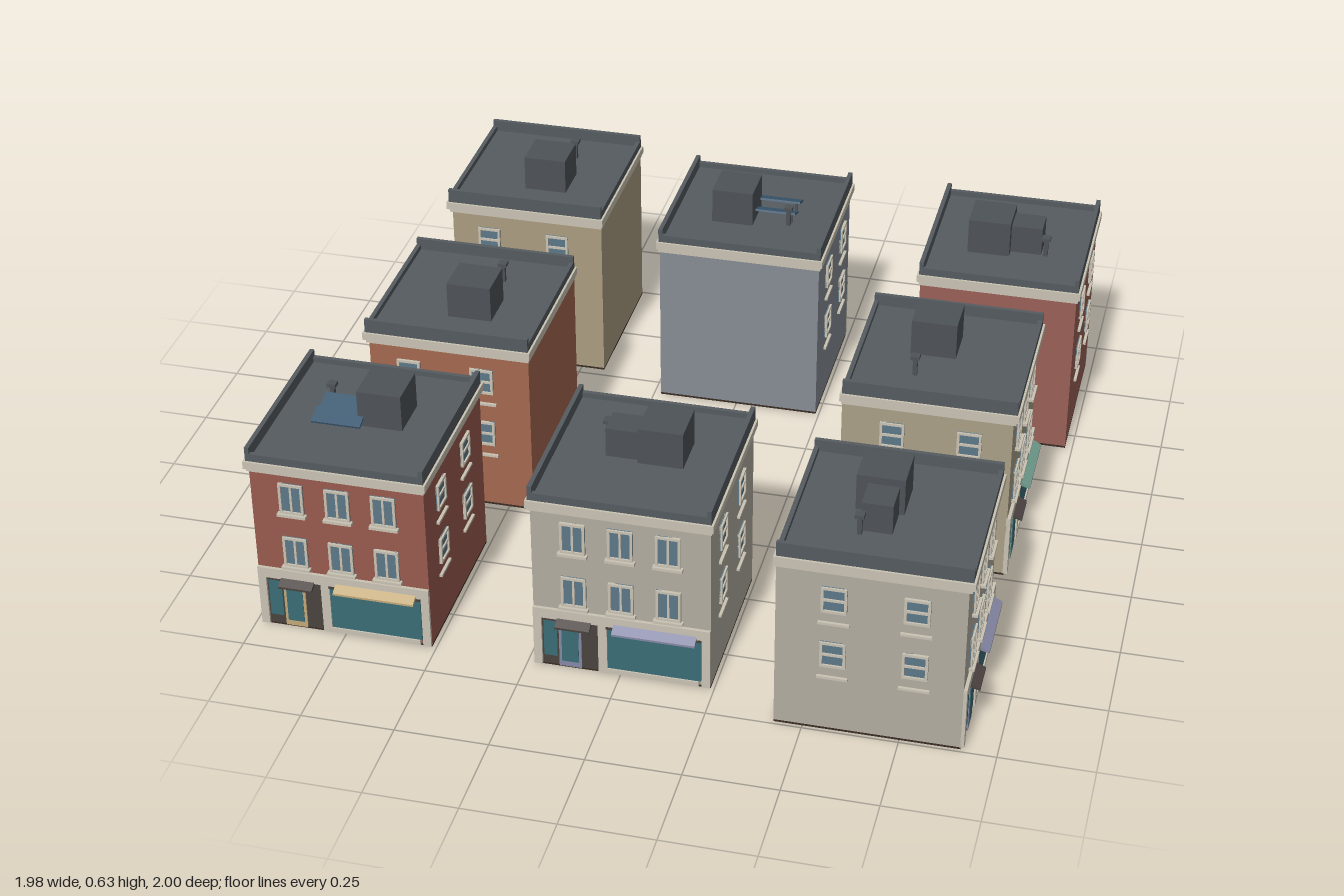
import * as THREE from 'three';

const mat = (color) => new THREE.MeshStandardMaterial({ color, flatShading: true });
const STONE = mat(0xc9c3b3), ROOF = mat(0x555b60), DARK = mat(0x4a4340), GLASS = mat(0x5c7888),
  SHOP = mat(0x3a6d76), BASE = mat(0x3a2c24), SOLAR = mat(0x3d5a72), VENT = mat(0x4e5358);

// box given by its centre and size
function box(parent, name, material, [x, y, z], [w, h, d]) {
  const m = new THREE.Mesh(new THREE.BoxGeometry(w, h, d), material);
  m.name = name;
  m.position.set(x, y, z);
  parent.add(m);
  return m;
}

// sloping wedge that sticks out of the facade
function wedge(parent, name, material, x, y, z, width, depth, height) {
  const s = new THREE.Shape([
    new THREE.Vector2(0, 0), new THREE.Vector2(0, height),
    new THREE.Vector2(-depth, -0.004), new THREE.Vector2(-depth, -0.01),
  ]);
  const g = new THREE.ExtrudeGeometry(s, { depth: width, bevelEnabled: false });
  g.translate(0, 0, -width / 2).rotateY(Math.PI / 2);
  const m = new THREE.Mesh(g, material);
  m.name = name;
  m.position.set(x, y, z);
  parent.add(m);
}

// window facing +z; mullion runs vertically or across
function makeWindow(w, h, across) {
  const g = new THREE.Group();
  g.name = 'window';
  const t = 0.007;
  box(g, 'glass', GLASS, [0, 0, 0.001], [w, h, 0.004]);
  for (const s of [-1, 1]) {
    box(g, 'frameSide', STONE, [s * (w - t) / 2, 0, 0.003], [t, h, 0.01]);
    box(g, 'frameRail', STONE, [0, s * (h - t) / 2, 0.003], [w, t, 0.01]);
  }
  if (across) {
    box(g, 'mullion', STONE, [0, 0, 0.003], [w, 0.007, 0.008]);
    box(g, 'ledge', STONE, [0, -h / 2 - 0.034, 0.003], [w + 0.014, 0.007, 0.01]);
  } else {
    box(g, 'mullion', STONE, [0, 0, 0.003], [0.006, h, 0.008]);
    box(g, 'sill', STONE, [0, -h / 2 - 0.003, 0.006], [w + 0.012, 0.008, 0.018]);
  }
  return g;
}

function makeShopfront(b, w, zf, accent, awning) {
  const g = new THREE.Group();
  g.name = 'shopfront';
  b.add(g);
  // stone surround
  box(g, 'signBand', STONE, [0, 0.17, zf + 0.003], [w, 0.03, 0.012]);
  for (const s of [-1, 1]) box(g, 'pilaster', STONE, [s * (w / 2 - 0.011), 0.08, zf + 0.003], [0.022, 0.15, 0.012]);
  box(g, 'pier', STONE, [-0.05, 0.08, zf + 0.003], [0.024, 0.15, 0.012]);
  box(g, 'bulkhead', STONE, [0.08, 0.013, zf + 0.003], [0.25, 0.014, 0.012]);
  // display window
  box(g, 'displayGlass', SHOP, [0.085, 0.088, zf + 0.002], [0.25, 0.136, 0.006]);
  box(g, 'displayHead', DARK, [0.085, 0.151, zf + 0.004], [0.25, 0.008, 0.012]);
  // entrance
  box(g, 'entrance', DARK, [-0.137, 0.082, zf + 0.001], [0.15, 0.148, 0.006]);
  box(g, 'sidelight', SHOP, [-0.19, 0.09, zf + 0.003], [0.036, 0.11, 0.006]);
  box(g, 'door', accent, [-0.137, 0.076, zf + 0.004], [0.06, 0.136, 0.007]);
  box(g, 'doorGlass', SHOP, [-0.137, 0.08, zf + 0.006], [0.045, 0.11, 0.006]);
  wedge(g, 'doorCanopy', DARK, -0.125, 0.152, zf, 0.092, 0.033, 0.012);
  if (awning) wedge(g, 'awning', accent, 0.09, 0.156, zf, 0.22, 0.033, 0.014);
}

function makeRoof(b, w, d, extra) {
  const g = new THREE.Group();
  g.name = 'roof';
  b.add(g);
  const zc = 0.005, W = w + 0.02, D = d + 0.022;
  box(g, 'frieze', STONE, [0, 0.493, zc - 0.002], [w + 0.008, 0.012, d + 0.01]);
  box(g, 'cornice', STONE, [0, 0.509, zc], [W, 0.022, D]);
  box(g, 'deck', ROOF, [0, 0.523, zc], [W - 0.014, 0.008, D - 0.014]);
  for (const s of [-1, 1]) {
    box(g, 'sideParapet', ROOF, [s * (W / 2 - 0.012), 0.54, zc], [0.012, 0.04, D - 0.012]);
    box(g, 'endParapet', ROOF, [0, 0.531, zc + s * (D / 2 - 0.012)], [W - 0.012, 0.022, 0.012]);
  }
  box(g, 'stairHouse', VENT, [0.053, 0.576, -0.025], [0.12, 0.108, 0.124]);
  // vent pipe with cap
  box(g, 'ventPipe', VENT, [-0.108, 0.551, -0.057], [0.012, 0.06, 0.012]);
  box(g, 'ventCap', VENT, [-0.108, 0.582, -0.057], [0.024, 0.01, 0.024]);
  if (extra === 'unit') box(g, 'coolingUnit', VENT, [-0.05, 0.567, -0.017], [0.09, 0.086, 0.08]);
  if (extra === 'solar') for (const z of [-0.024, 0.045]) {
    const p = box(g, 'solarPanel', SOLAR, [-0.058, 0.55, z], [0.134, 0.006, 0.052]);
    p.rotation.x = 0.35;
    for (const s of [-1, 1]) box(g, 'panelLeg', VENT, [-0.058 + s * 0.055, 0.54, z - 0.018], [0.006, 0.03, 0.006]);
  }
}

function makeBuilding({ x, z, turn, w, d, wall, accent, awning, extra }) {
  const b = new THREE.Group();
  b.name = 'building';
  b.position.set(x, 0, z);
  b.rotation.y = turn * Math.PI / 2;
  box(b, 'foundation', BASE, [0, 0.003, 0], [w, 0.006, d]);
  box(b, 'walls', mat(wall), [0, 0.248, 0], [w, 0.484, d]);
  makeShopfront(b, w, d / 2, mat(accent), awning);
  for (const y of [0.246, 0.414]) {
    // front windows
    for (const i of [-1, 0, 1]) {
      const f = makeWindow(0.066, 0.092, false);
      f.position.set(i * 0.125, y, d / 2);
      b.add(f);
    }
    // side windows
    for (const s of [-1, 1]) for (const zz of [-0.092, 0.116]) {
      const f = makeWindow(0.066, 0.076, true);
      f.position.set(s * w / 2, y - 0.006, zz);
      f.rotation.y = s * Math.PI / 2;
      b.add(f);
    }
  }
  makeRoof(b, w, d, extra);
  return b;
}

export function createModel() {
  const model = new THREE.Group();
  model.name = 'cityBlock';
  // turn: 0 faces +z, 1 faces +x, 2 faces -z, 3 faces -x
  const plots = [
    { x: -0.657, z: -0.76, turn: 3, w: 0.46, d: 0.455, wall: 0xaa9c80, accent: 0x6f9a8c, awning: true },
    { x: 0.005, z: -0.67, turn: 2, w: 0.47, d: 0.46, wall: 0x868c94, accent: 0xb96c55, awning: true, extra: 'solar' },
    { x: 0.757, z: -0.667, turn: 2, w: 0.445, d: 0.472, wall: 0x985f57, accent: 0x8a4a3c, awning: false, extra: 'unit' },
    { x: -0.657, z: -0.003, turn: 3, w: 0.465, d: 0.455, wall: 0xa3684f, accent: 0x8a4a3c, awning: false },
    { x: 0.67, z: -0.003, turn: 1, w: 0.465, d: 0.46, wall: 0xaa9f88, accent: 0x6f9a8c, awning: true },
    { x: -0.747, z: 0.654, turn: 0, w: 0.47, d: 0.485, wall: 0x985a4e, accent: 0xc2a878, awning: true, extra: 'solar' },
    { x: 0.005, z: 0.654, turn: 0, w: 0.47, d: 0.485, wall: 0xb2ac9f, accent: 0x8587a5, awning: true, extra: 'unit' },
    { x: 0.666, z: 0.755, turn: 1, w: 0.47, d: 0.48, wall: 0xb2ad9f, accent: 0x8587a5, awning: true, extra: 'unit' },
  ];
  for (const p of plots) model.add(makeBuilding(p));
  return model;
}
